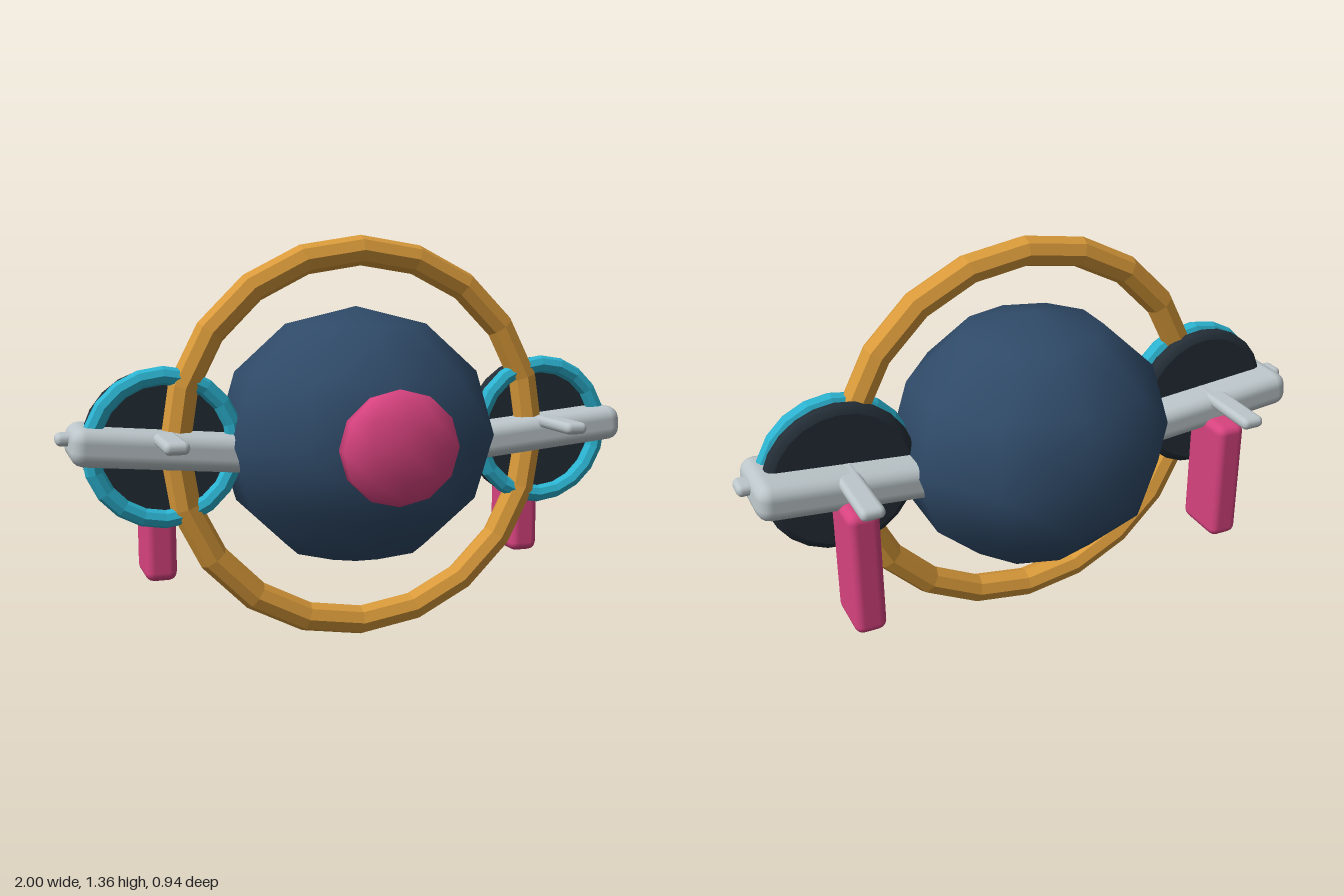
import * as THREE from 'three';
import { RoundedBoxGeometry } from 'three/addons/geometries/RoundedBoxGeometry.js';

const paint = (name, color, flatShading = false) => {
  const m = new THREE.MeshStandardMaterial({ color, flatShading });
  m.name = name;
  return m;
};

export function createModel() {
  const navy = paint('navy', 0x2f4a68);
  const gold = paint('gold', 0xd99a3a, true);
  const cyan = paint('cyan', 0x2bb3d0, true);
  const dark = paint('charcoal', 0x242e37);
  const grey = paint('pale grey', 0xbcc6ca);
  const pink = paint('pink', 0xd8437f);

  const model = new THREE.Group();
  model.name = 'ringedSphereCraft';

  const add = (parent, name, geometry, material, x, y, z) => {
    const mesh = new THREE.Mesh(geometry, material);
    mesh.name = name;
    mesh.position.set(x, y, z);
    parent.add(mesh);
    return mesh;
  };
  // Ten-sided ellipsoid with a corner facing forward
  const ellipsoid = (rx, ry, rz) =>
    new THREE.SphereGeometry(1, 10, 6).rotateY(Math.PI / 2).scale(rx, ry, rz);
  const block = (w, h, d, r) => new RoundedBoxGeometry(w, h, d, 2, r);

  // Central body, front lens and large hoop
  add(model, 'body', ellipsoid(0.478, 0.44, 0.44), navy, 0, 0.685, -0.03);
  add(model, 'frontLens', ellipsoid(0.2, 0.184, 0.08), pink, 0, 0.702, 0.39);
  add(model, 'hoop', new THREE.TorusGeometry(0.63, 0.05, 8, 20), gold, 0, 0.68, 0.02);

  // Bevelled disc profile, doubled corner points keep the faces crisp
  const profile = [[0, -0.03], [0.228, -0.03], [0.228, -0.03], [0.245, -0.023], [0.253, -0.01],
    [0.253, 0.01], [0.245, 0.023], [0.228, 0.03], [0.228, 0.03], [0, 0.03]]
    .map(([x, y]) => new THREE.Vector2(x, y));
  const discGeometry = new THREE.LatheGeometry(profile, 24).rotateX(Math.PI / 2);

  for (const side of [-1, 1]) {
    const pod = new THREE.Group();
    pod.name = side > 0 ? 'leftPod' : 'rightPod';
    model.add(pod);

    // Arm rising slightly outward
    const arm = add(pod, 'arm', block(0.62, 0.122, 0.27, 0.045), grey, side * 0.653, 0.678, -0.03);
    arm.rotation.z = side * 0.09;
    add(pod, 'armTip', block(0.1, 0.04, 0.08, 0.019), grey, side * 0.95, 0.72, -0.027);
    add(pod, 'crossRod', block(0.08, 0.04, 0.665, 0.019), grey, side * 0.67, 0.72, -0.032);

    // Wheel disc with bright rim in front
    add(pod, 'disc', discGeometry, dark, side * 0.668, 0.683, -0.031);
    add(pod, 'rim', new THREE.TorusGeometry(0.232, 0.03, 8, 20), cyan, side * 0.665, 0.685, 0.029);

    // Hanging leg behind the disc
    add(pod, 'leg', block(0.106, 0.44, 0.197, 0.03), pink, side * 0.666, 0.44, -0.157);
  }
  return model;
}
